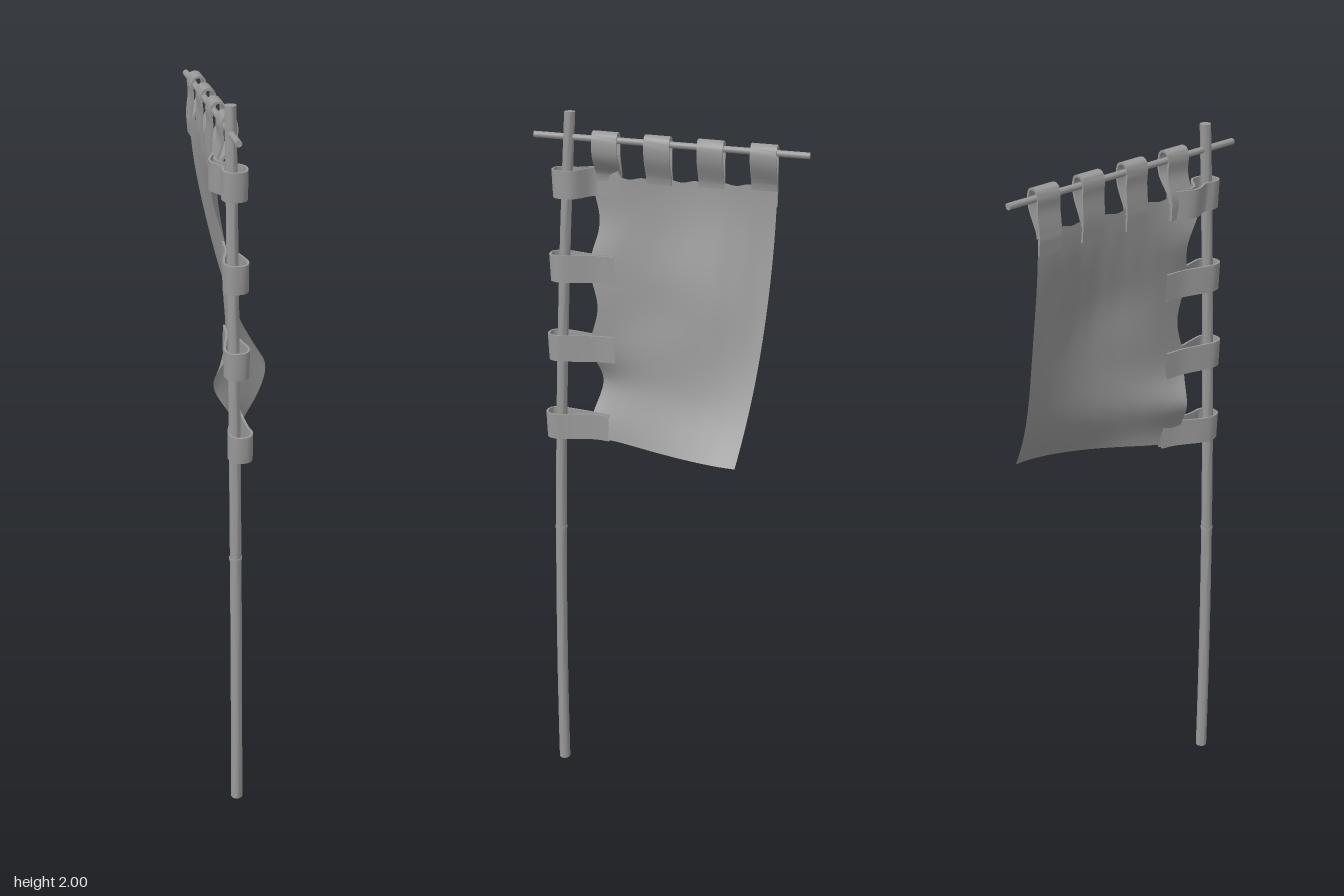
import * as THREE from 'three';
import { toCreasedNormals } from 'three/addons/utils/BufferGeometryUtils.js';

const V = (x, y, z) => new THREE.Vector3(x, y, z);
const material = new THREE.MeshStandardMaterial({ color: 0x999999, side: THREE.DoubleSide });
const AXIS = -0.074;
const bump = (v, centre, width) => Math.exp(-(((v - centre) / width) ** 2));

// The pole leans back gently in its upper half
const poleZ = (y) => 0.334 - 0.017 * y * y;
const barY = (z) => 1.927 + 0.027 * z;

// Sideways position of the cloth: s runs from pole edge to free edge, t from top to bottom
function clothX(s, t) {
  const sweep = 0.03 + 0.152 * Math.sin((s * Math.PI) / 2) ** 1.5;
  const flare = sweep * t ** (2.4 + 2.2 * (1 - s));
  const poleEdge = (1 - s) ** 5 * (-0.045 * bump(t, 0.06, 0.2) - 0.05 * bump(t, 0.8, 0.1));
  const belly = 0.036 * bump(s, 0.65, 0.35) * Math.sin(Math.PI * Math.min(1, t * 1.1)) ** 2;
  const ripple = 0.007 * Math.sin(s * 9 + t * 4) * (1 - s) * (1 - t * 0.5);
  return -0.068 - 0.012 * s * (1 - t) + flare + poleEdge + belly + ripple;
}

function clothPoint(s, t) {
  const left = 0.208 + 0.011 * Math.cos(((t * 0.74 - 0.02) / 0.226) * 2 * Math.PI);
  const right = -0.283 + 0.058 * t ** 2.2;
  const top = 1.836 - 0.006 * Math.sin(s * 7 * Math.PI) ** 2;
  const bottom = 1.103 + 0.018 * Math.sin(s * Math.PI * 0.6);
  return V(clothX(s, t), top + (bottom - top) * t, left + (right - left) * s);
}

// Cloth x at a given height and depth
const clothAt = (y, z) => clothX(
  THREE.MathUtils.clamp((0.21 - z) / 0.47, 0, 1),
  THREE.MathUtils.clamp((1.836 - y) / 0.73, 0, 1));

// Flat band with a little thickness, following a path; across is its width vector
function band(points, across, name) {
  const n = 32, thick = 0.003;
  const curve = new THREE.CatmullRomCurve3(points, false, 'centripetal');
  const geo = new THREE.PlaneGeometry(1, 1, 4, n);
  const pos = geo.attributes.position;
  const corners = [[-1, -1], [1, -1], [1, 1], [-1, 1], [-1, -1]];
  for (let i = 0; i <= n; i++) {
    const p = curve.getPoint(i / n);
    const normal = curve.getTangent(i / n).cross(across).normalize();
    corners.forEach(([a, b], j) => {
      const q = p.clone().addScaledVector(across, a / 2).addScaledVector(normal, b * thick);
      pos.setXYZ(i * 5 + j, q.x, q.y, q.z);
    });
  }
  const mesh = new THREE.Mesh(toCreasedNormals(geo, 0.9), material);
  mesh.name = name;
  return mesh;
}

export function createModel() {
  const group = new THREE.Group();
  const add = (geo, name) => {
    const mesh = new THREE.Mesh(geo, material);
    mesh.name = name;
    group.add(mesh);
    return mesh;
  };

  // Slightly tapered, bent pole
  const poleGeo = new THREE.CylinderGeometry(0.0145, 0.0165, 2, 16, 20);
  const pp = poleGeo.attributes.position;
  for (let i = 0; i < pp.count; i++) {
    const y = pp.getY(i) + 1;
    pp.setXYZ(i, pp.getX(i) + AXIS, y, pp.getZ(i) + poleZ(y));
  }
  add(toCreasedNormals(poleGeo, 0.8), 'pole');

  // Thin joint on the pole
  const joint = add(new THREE.CylinderGeometry(0.0175, 0.0175, 0.008, 16), 'poleJoint');
  joint.position.set(AXIS, 0.8, poleZ(0.8));

  // Crossbar lashed to the pole
  const bar = add(new THREE.CylinderGeometry(0.0085, 0.0085, 0.73, 12), 'crossbar');
  bar.position.set(AXIS, barY(0), 0);
  bar.rotation.x = Math.PI / 2 - 0.027;

  // Cloth, swept sideways toward its lower free corner
  const clothGeo = new THREE.PlaneGeometry(1, 1, 56, 56);
  const cp = clothGeo.attributes.position;
  for (let i = 0; i < cp.count; i++) {
    const p = clothPoint(cp.getX(i) + 0.5, 0.5 - cp.getY(i));
    cp.setXYZ(i, p.x, p.y, p.z);
  }
  clothGeo.computeVertexNormals();
  add(clothGeo, 'cloth');

  // Tabs hanging the cloth from the crossbar: short in front, longer behind
  const tabs = new THREE.Group();
  tabs.name = 'crossbarTabs';
  for (const z of [0.167, 0.028, -0.112, -0.25]) {
    const y = barY(z), cx = AXIS + 0.01;
    const low = clothAt(1.78, z), mid = clothAt(1.83, z);
    tabs.add(band([
      V(mid, 1.822, z), V(mid + 0.004, 1.84, z), V(cx + 0.014, 1.89, z),
      V(cx + 0.018, y, z), V(cx + 0.01, y + 0.018, z), V(cx - 0.01, y + 0.018, z),
      V(cx - 0.018, y, z), V(cx - 0.016, 1.89, z), V(mid - 0.006, 1.835, z), V(low - 0.005, 1.78, z),
    ], V(0, 0.002, 0.068), 'crossbarTab'));
  }
  group.add(tabs);

  // Straps tying the cloth to the pole
  const straps = new THREE.Group();
  straps.name = 'poleStraps';
  [[1.815, 0.135], [1.587, 0.146], [1.362, 0.152], [1.133, 0.164]].forEach(([y, end], i) => {
    const z = poleZ(y) + 0.006, last = i === 3, rise = last ? 0.006 : 0;
    const xe = clothAt(y, end), xm = clothAt(y, 0.2);
    const c = AXIS + (last ? 0.014 : 0.007), r = 0.029;
    straps.add(band([
      V(xe + 0.006, y + rise, end), V(xm + 0.008, y + rise, 0.205), V(c + r * 0.85, y, z - 0.03),
      V(c + r, y, z), V(c + r * 0.6, y, z + 0.024), V(c - r * 0.6, y, z + 0.024),
      V(c - r, y, z), V(c - r * 0.85, y, z - 0.03), V(xm - 0.008, y + rise, 0.205), V(xe - 0.006, y + rise, end),
    ], V(0, 0.074, 0.003), 'poleStrap'));
  });
  group.add(straps);

  return group;
}
